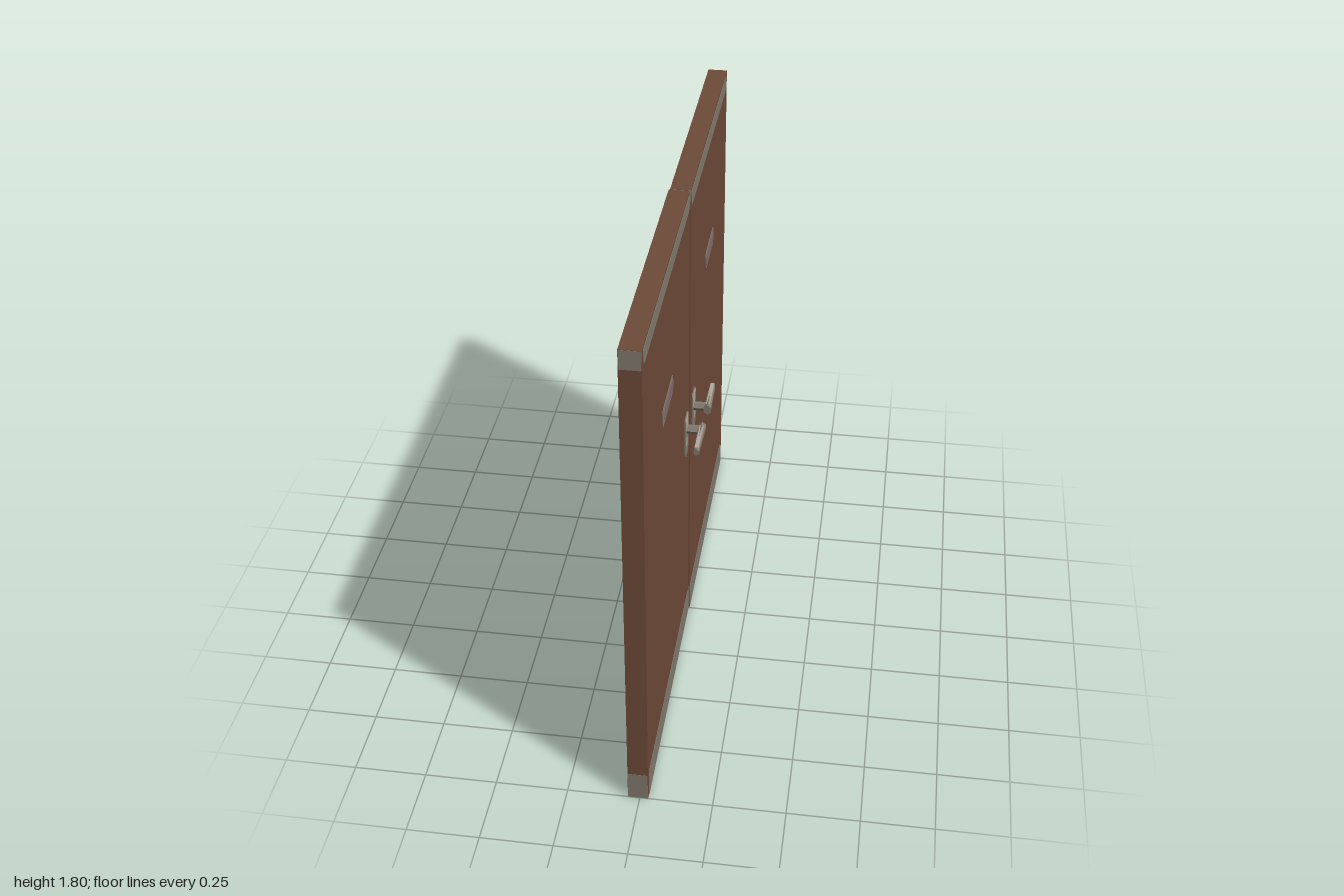
import * as THREE from 'three';

const mat = (name, color) => {
  const m = new THREE.MeshStandardMaterial({ color });
  m.name = name;
  return m;
};

export function createModel() {
  const wood = mat('brown wood', 0x6d4a37);
  const steel = mat('grey steel', 0x827a6f);
  const bright = mat('bright steel', 0xb3a89c);
  const glass = mat('mauve glass', 0x836b70);
  const T = 0.07, H = 1.8;

  const add = (group, name, geometry, material, x = 0, y = 0, z = 0) => {
    const m = new THREE.Mesh(geometry, material);
    m.name = name;
    m.position.set(x, y, z);
    group.add(m);
    return m;
  };

  // Thin plate in the z-y plane, radii given as bottom and top corners
  const plate = (z0, z1, y0, y1, rBottom, rTop, depth) => {
    const s = new THREE.Shape();
    s.moveTo(z0 + rBottom, y0);
    s.lineTo(z1 - rBottom, y0);
    s.quadraticCurveTo(z1, y0, z1, y0 + rBottom);
    s.lineTo(z1, y1 - rTop);
    s.quadraticCurveTo(z1, y1, z1 - rTop, y1);
    s.lineTo(z0 + rTop, y1);
    s.quadraticCurveTo(z0, y1, z0, y1 - rTop);
    s.lineTo(z0, y0 + rBottom);
    s.quadraticCurveTo(z0, y0, z0 + rBottom, y0);
    const g = new THREE.ExtrudeGeometry(s, { depth, bevelEnabled: false, curveSegments: 5 });
    // Shape x becomes z, extrusion becomes -x; then centre it on x
    g.rotateY(-Math.PI / 2);
    g.translate(depth / 2, 0, 0);
    return g;
  };

  // Fittings of one face; built for +x and turned or mirrored by position signs
  const addHandle = (leaf, side, dir) => {
    const handle = new THREE.Group();
    handle.name = 'handle';
    const at = (a, b) => (dir > 0 ? [a, b] : [-b, -a]);
    const face = side * T / 2;
    add(handle, 'handlePlate', plate(...at(0.045, 0.115), 0.79, 0.96, 0.025, 0.015, 0.008), steel, face);
    add(handle, 'handlePlateTop', plate(...at(0.05, 0.11), 0.905, 0.957, 0.004, 0.013, 0.003), bright, face + side * 0.004);
    add(handle, 'keyhole', plate(...at(0.082, 0.1), 0.835, 0.87, 0.008, 0.004, 0.003), bright, face + side * 0.004);
    // Faceted stem and lever
    const stem = new THREE.CylinderGeometry(0.016, 0.016, 0.062, 6).toNonIndexed();
    stem.computeVertexNormals();
    stem.rotateZ(Math.PI / 2);
    add(handle, 'handleStem', stem, steel, side * 0.064, 0.897, dir * 0.075);
    const lever = new THREE.CylinderGeometry(0.014, 0.02, 0.16, 6).toNonIndexed();
    lever.computeVertexNormals();
    lever.rotateX(dir * Math.PI / 2);
    lever.scale(0.75, 1, 1);
    add(handle, 'handleLever', lever, steel, side * 0.09, 0.897, dir * 0.133);
    const strip = new THREE.BoxGeometry(0.014, 0.003, 0.14);
    add(handle, 'leverHighlight', strip, bright, side * 0.09, 0.912, dir * 0.137);
    leaf.add(handle);
  };

  const model = new THREE.Group();
  model.name = 'doubleDoor';

  for (const dir of [1, -1]) {
    const leaf = new THREE.Group();
    leaf.name = dir > 0 ? 'leftLeaf' : 'rightLeaf';
    leaf.position.x = dir > 0 ? -0.006 : -0.002;
    const at = (a, b) => (dir > 0 ? [a, b] : [-b, -a]);

    // Slab with a steel underside
    const slab = new THREE.BoxGeometry(T, H - 0.001, 0.997);
    add(leaf, 'doorSlab', slab, [wood, wood, wood, steel, wood, wood], 0, H / 2 + 0.0005, dir * 0.5005);

    // Kick, top and window plates run through the slab and show on both faces
    const through = T + 0.003;
    add(leaf, 'kickPlate', plate(...at(0.003, 0.977), 0.002, 0.108, 0.008, 0.035, through), steel);
    add(leaf, 'topPlate', plate(...at(0.01, 0.977), 1.735, 1.792, 0.025, 0.015, through), steel);
    add(leaf, 'windowFrame', plate(...at(0.4, 0.623), 1.273, 1.343, 0.022, 0.022, through), steel);
    add(leaf, 'windowPane', plate(...at(0.405, 0.595), 1.285, 1.33, 0.018, 0.018, through + 0.003), glass);

    // Steel caps wrapping the ends at the bottom and top
    for (const e of [0, 1]) {
      const z = e ? 0.999 : 0.0015;
      add(leaf, 'endCapBottom', new THREE.BoxGeometry(T - 0.002, 0.108, 0.002), steel, 0, 0.054, dir * z);
      add(leaf, 'endCapTop', new THREE.BoxGeometry(T - 0.002, 0.066, 0.002), steel, 0, 1.766, dir * z);
    }

    for (const side of [1, -1]) addHandle(leaf, side, dir);
    model.add(leaf);
  }
  return model;
}
